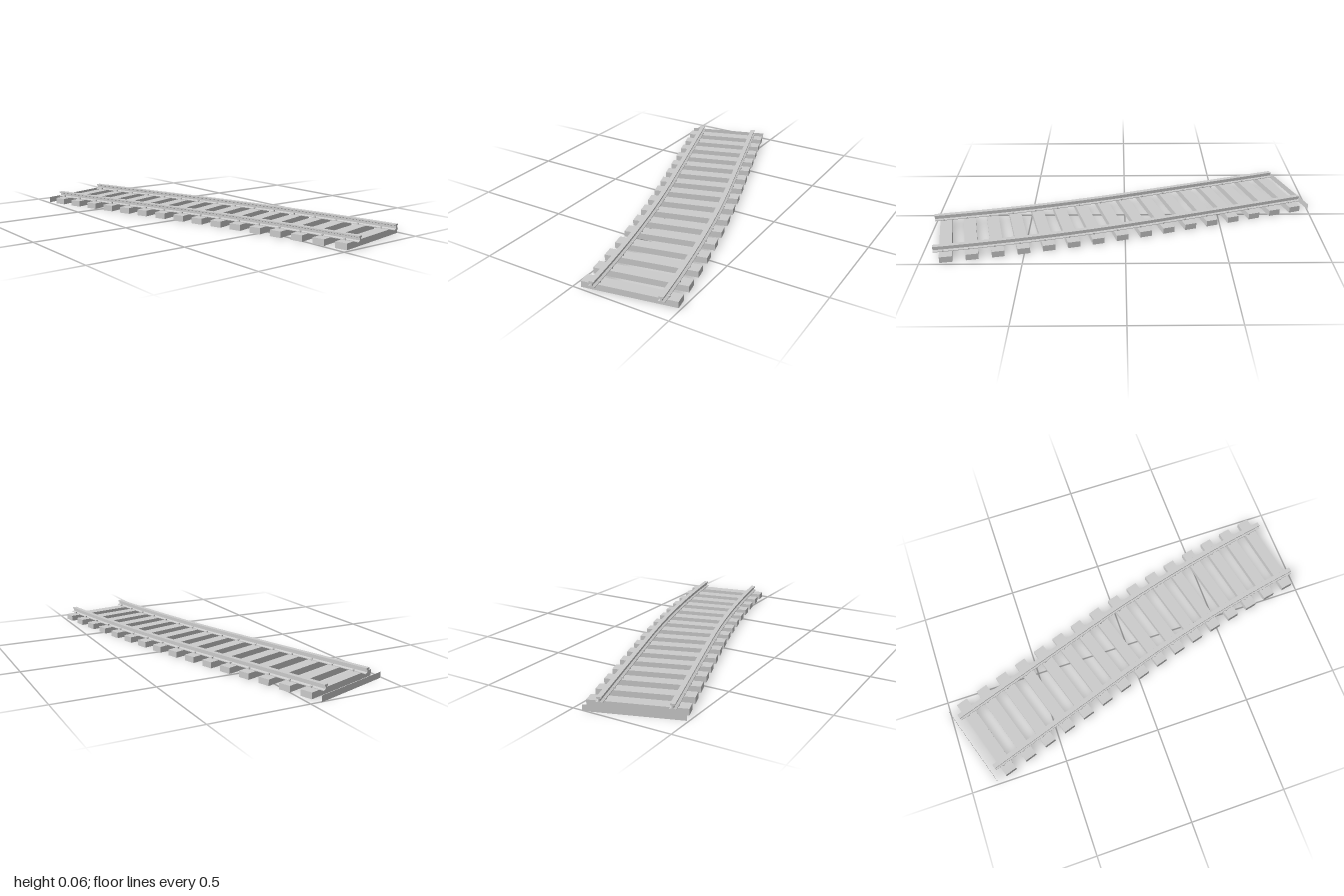
import * as THREE from 'three';

const deg = Math.PI / 180;
const LENGTH = 1.955, STRAIGHT = 0.82;       // track length and its straight share
const A0 = 18.1 * deg, A1 = 10 * deg;        // heading at the back and front ends
const K = (A0 - A1) / (LENGTH - STRAIGHT);   // curvature of the bend
const TIE_H = 0.031, TIE_L = 0.46, TIE_W = 0.062, TIES = 16;
const GAUGE = 0.326;

// Centre line: straight from the back, then a gentle arc
function track(s) {
  const straight = Math.min(s, STRAIGHT), t = Math.max(s - STRAIGHT, 0);
  const angle = A0 - K * t;
  return {
    x: -0.264 + straight * Math.sin(A0) + (Math.cos(angle) - Math.cos(A0)) / K,
    z: -0.908 + straight * Math.cos(A0) + (Math.sin(A0) - Math.sin(angle)) / K,
    angle,
  };
}

// Place an object at distance s along the track and u across it
function place(object, s, u, y) {
  const p = track(s);
  object.position.set(p.x + u * Math.cos(p.angle), y, p.z - u * Math.sin(p.angle));
  object.rotation.y = p.angle;
  return object;
}

// Rail section extruded straight, then bent along the track
function railGeometry(offset) {
  const half = [[0.016, 0.031], [0.016, 0.034], [0.004, 0.038], [0.004, 0.05], [0.012, 0.053], [0.012, 0.0595]];
  const points = [...half, ...half.slice().reverse().map(([x, y]) => [-x, y])];
  const shape = new THREE.Shape(points.map(([x, y]) => new THREE.Vector2(x, y)));
  const geometry = new THREE.ExtrudeGeometry(shape, { depth: LENGTH, steps: 32, bevelEnabled: false });
  const pos = geometry.attributes.position;
  for (let i = 0; i < pos.count; i++) {
    const p = track(pos.getZ(i)), u = offset + pos.getX(i);
    pos.setXYZ(i, p.x + u * Math.cos(p.angle), pos.getY(i), p.z - u * Math.sin(p.angle));
  }
  geometry.computeVertexNormals();
  return geometry;
}

export function createModel() {
  const group = new THREE.Group();
  const material = new THREE.MeshStandardMaterial({ color: 0xcccccc, flatShading: true });
  const add = (name, geometry, mat = material) => {
    const mesh = new THREE.Mesh(geometry, mat);
    mesh.name = name;
    group.add(mesh);
    return mesh;
  };

  // Rails
  add('leftRail', railGeometry(GAUGE / 2));
  add('rightRail', railGeometry(-GAUGE / 2));

  // Ties with spikes on both sides of each rail
  const tie = new THREE.BoxGeometry(TIE_L, TIE_H, TIE_W);
  const spike = new THREE.BoxGeometry(0.008, 0.009, 0.008);
  const first = 0.057, gap = (LENGTH - 0.06 - first) / (TIES - 1);
  for (let i = 0; i < TIES; i++) {
    const s = first + i * gap;
    place(add('tie', tie), s, 0, TIE_H / 2);
    for (const rail of [-1, 1]) for (const side of [-1, 1]) {
      place(add('spike', spike), s + side * 0.012, rail * GAUGE / 2 + side * 0.016, TIE_H + 0.0045);
    }
  }

  // Thin upright strip behind the rearmost tie
  const thin = material.clone();
  thin.side = THREE.DoubleSide;
  place(add('endStrip', new THREE.PlaneGeometry(TIE_L, TIE_H), thin), first - 0.0835, 0, TIE_H / 2);

  return group;
}
